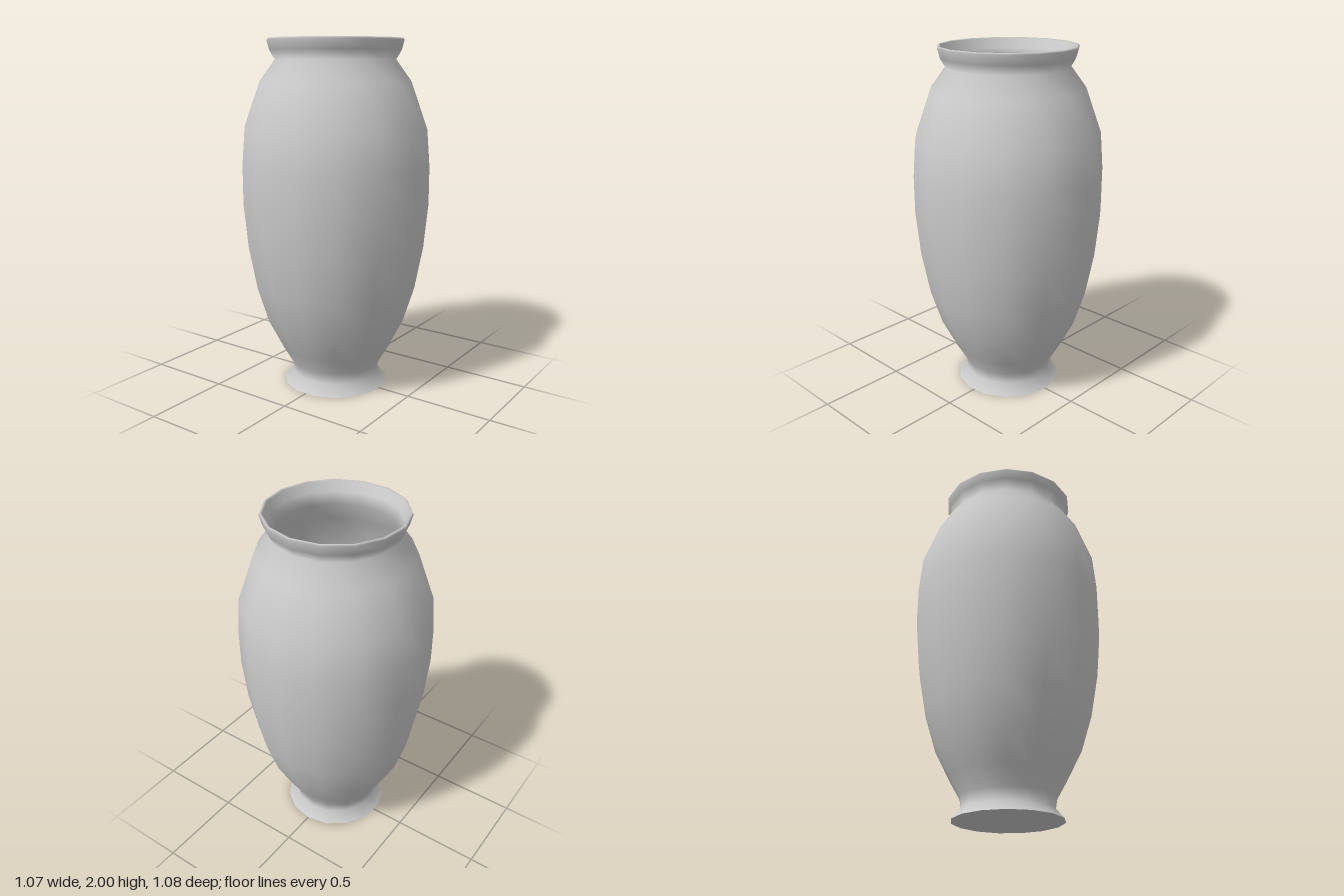
import * as THREE from 'three';

const SIDES = 15;

// Revolve [radius, height] points, with one corner pointing along +x
function revolve(name, points, material) {
  const profile = points.map(([r, y]) => new THREE.Vector2(r, y));
  const mesh = new THREE.Mesh(new THREE.LatheGeometry(profile, SIDES, Math.PI / 2), material);
  mesh.name = name;
  return mesh;
}

export function createModel() {
  const vase = new THREE.Group();
  vase.name = 'vase';
  const clay = new THREE.MeshStandardMaterial({ color: 0xcccccc });

  // Outside and inside in one profile: foot, belly, neck, lip, then down the inner wall
  const wall = revolve('vaseWall', [
    [0.306, 0], [0.252, 0.06], [0.263, 0.125], [0.32, 0.225], [0.407, 0.395],
    [0.471, 0.6], [0.517, 0.845], [0.541, 1.095], [0.541, 1.305], [0.524, 1.51],
    [0.432, 1.765], [0.343, 1.885], [0.374, 1.937], [0.388, 1.99], [0.382, 2],
    [0.37, 1.995], [0.354, 1.94], [0.32, 1.885], [0.412, 1.755], [0.504, 1.505],
    [0.521, 1.305], [0.521, 1.095], [0.497, 0.845], [0.451, 0.605], [0.387, 0.405],
    [0.3, 0.235], [0.2, 0.135], [0, 0.09],
  ], clay);

  // Flat underside of the foot
  const base = new THREE.Mesh(new THREE.CircleGeometry(0.306, SIDES).rotateX(Math.PI / 2), clay);
  base.name = 'footBase';

  vase.add(wall, base);
  // An odd number of sides reaches further on +x, so shift to centre it
  vase.position.x = -0.006;

  const model = new THREE.Group();
  model.add(vase);
  return model;
}
